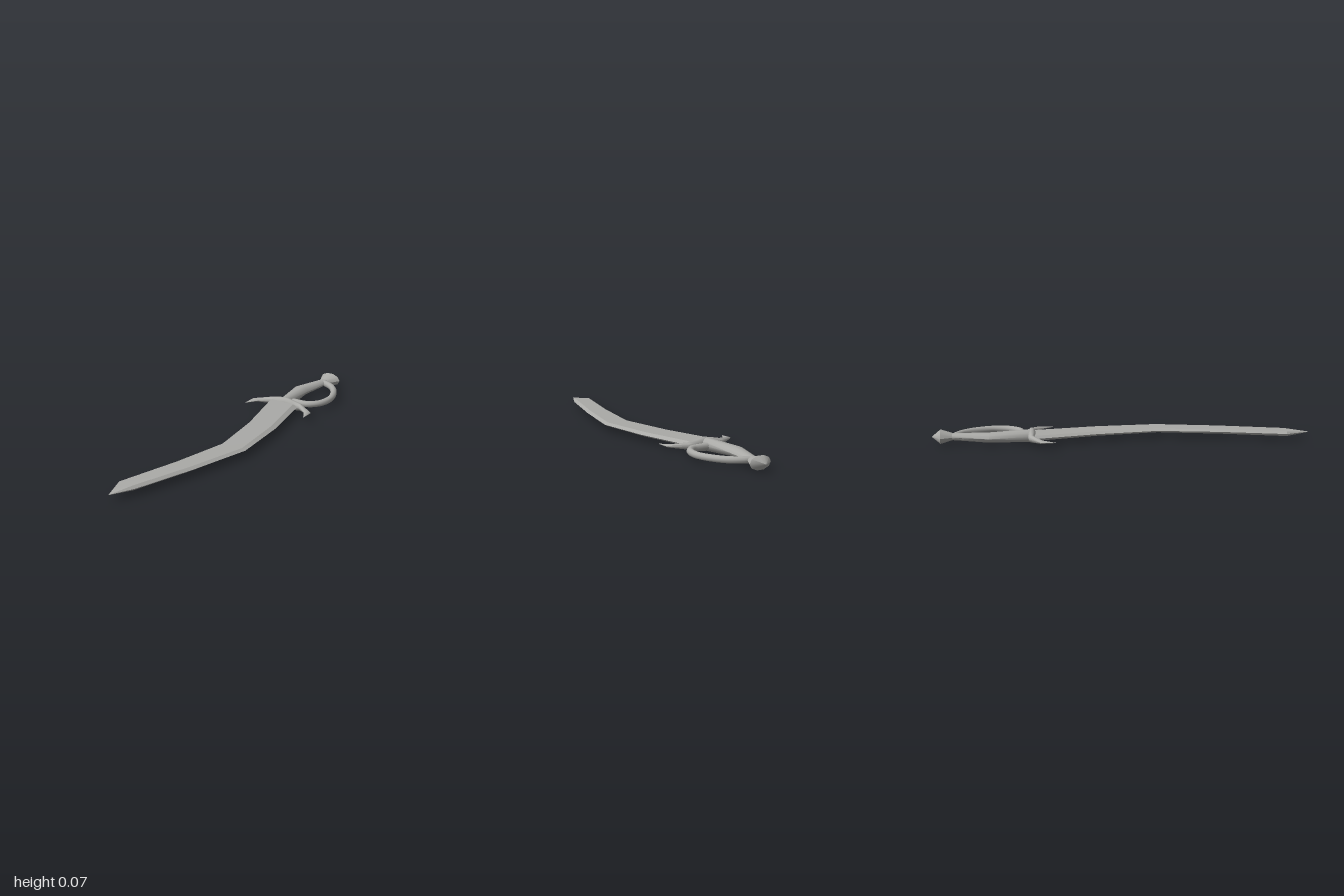
import * as THREE from 'three';
import { toCreasedNormals } from 'three/addons/utils/BufferGeometryUtils.js';

const MID = 0.04; // height of the flat symmetry plane

// Skin through sections [ax, az, bx, bz, halfHeight]; profile points are [along a-b, up] in -1..1
function loft(sections, profile, crease) {
  const n = profile.length, pos = [], idx = [];
  for (const [ax, az, bx, bz, h] of sections) {
    for (const [t, s] of profile) {
      const k = (t + 1) / 2;
      pos.push(ax + (bx - ax) * k, MID + s * h, az + (bz - az) * k);
    }
  }
  const last = (sections.length - 1) * n;
  for (let i = 0; i < last; i += n) {
    for (let j = 0; j < n; j++) {
      const k = (j + 1) % n;
      idx.push(i + j, i + k, i + n + k, i + j, i + n + k, i + n + j);
    }
  }
  // end caps
  for (let j = 1; j < n - 1; j++) {
    idx.push(0, j + 1, j, last, last + j, last + j + 1);
  }
  const g = new THREE.BufferGeometry();
  g.setAttribute('position', new THREE.Float32BufferAttribute(pos, 3));
  g.setIndex(idx);
  return toCreasedNormals(g, crease);
}

const oval = (n) => Array.from({ length: n }, (_, i) => {
  const a = (i / n) * Math.PI * 2;
  return [Math.cos(a), Math.sin(a)];
});

export function createModel() {
  const group = new THREE.Group();
  const steel = new THREE.MeshStandardMaterial({ color: 0xaaaaa7 });
  steel.name = 'steel';
  const add = (name, geometry) => {
    const mesh = new THREE.Mesh(geometry, steel);
    mesh.name = name;
    group.add(mesh);
  };

  // curved blade, bevelled along both edges and pointed at the end
  add('blade', loft([
    [-0.1, -0.475, 0.083, -0.475, 0.014],
    [-0.01, -0.13, 0.155, -0.13, 0.012],
    [0.04, 0.2, 0.188, 0.2, 0.01],
    [-0.015, 0.53, 0.11, 0.53, 0.012],
    [-0.098, 0.875, 0.01, 0.875, 0.013],
    [-0.051, 1, -0.049, 1, 0.001],
  ], [[1, 0], [0.72, 1], [-0.82, 1], [-1, 0], [-0.82, -1], [0.72, -1]], 0.2));

  // crossguard with both arms swept towards the blade, a = blade side, b = grip side
  const arm = [
    [0, -0.453, 0, -0.498, 0.038],
    [0.05, -0.455, 0.05, -0.497, 0.029],
    [0.095, -0.458, 0.098, -0.492, 0.019],
    [0.152, -0.42, 0.192, -0.432, 0.008],
    [0.192, -0.355, 0.194, -0.357, 0.001],
  ];
  const mirrored = arm.slice(1).reverse().map(([ax, az, bx, bz, h]) => [-ax, az, -bx, bz, h]);
  add('crossguard', loft([...mirrored, ...arm], oval(10), 0.9));

  // grip with a bend in the middle
  add('grip', loft([
    [-0.022, -0.91, 0.03, -0.91, 0.017],
    [-0.083, -0.7, 0.006, -0.7, 0.026],
    [-0.04, -0.48, 0.025, -0.48, 0.034],
  ], oval(10), 0.9));

  // pommel, a flattened double cone
  add('pommel', loft([
    [0.004, -1, 0.006, -1, 0.001],
    [-0.056, -0.955, 0.068, -0.955, 0.037],
    [-0.025, -0.89, 0.032, -0.89, 0.018],
  ], oval(10), 0.8));

  // knuckle bow
  const bow = new THREE.CatmullRomCurve3([
    [0.008, -0.878], [0.035, -0.87], [0.09, -0.835], [0.14, -0.765], [0.17, -0.67],
    [0.155, -0.585], [0.11, -0.537], [0.06, -0.528], [0, -0.526],
  ].map(([x, z]) => new THREE.Vector3(x, MID, z)));
  add('knuckleBow', new THREE.TubeGeometry(bow, 32, 0.018, 10, false));

  return group;
}
